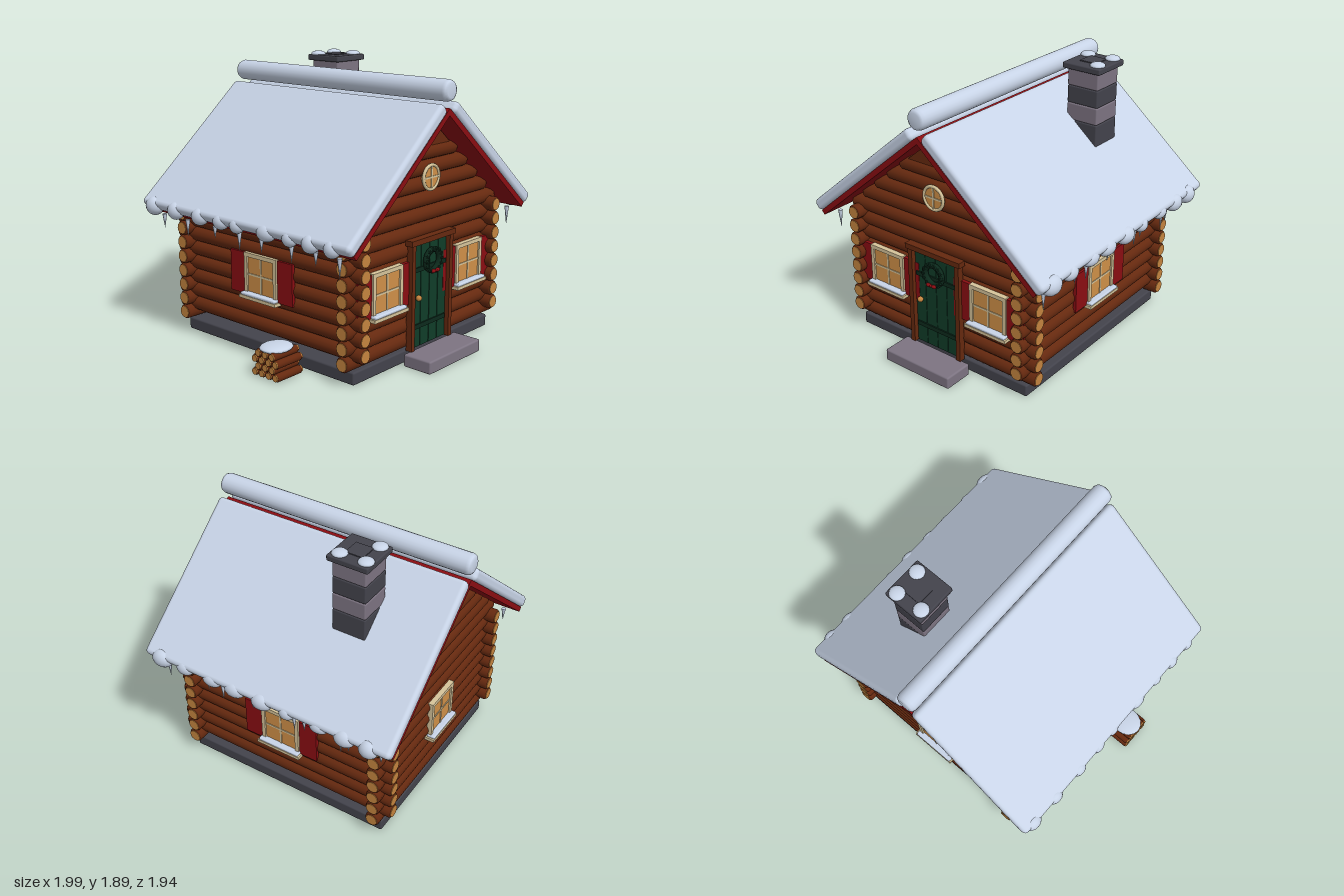
import * as THREE from 'three';
import { RoundedBoxGeometry } from 'three/addons/geometries/RoundedBoxGeometry.js';

const mat = (name, color, extra = {}) => {
  const m = new THREE.MeshStandardMaterial({ color, ...extra });
  m.name = name;
  return m;
};

export function createModel() {
  const bark = mat('bark brown', 0x66290f);
  const cutWood = mat('cut wood', 0xc5853f);
  const red = mat('barn red', 0x8a0d12);
  const green = mat('door green', 0x103c28);
  const darkGreen = mat('wreath green', 0x0c2a1c);
  const glass = mat('warm glass', 0xd09048);
  const cream = mat('cream trim', 0xd6c49a);
  const snow = mat('snow', 0xc9d5e8);
  const darkStone = mat('dark stone', 0x43434c);
  const lightStone = mat('light stone', 0x7d7482);

  const root = new THREE.Group();
  root.name = 'logCabin';
  const house = new THREE.Group();
  house.name = 'house';
  house.position.set(0.0125, 0, -0.035);
  root.add(house);

  const add = (parent, name, geo, material, x = 0, y = 0, z = 0) => {
    const m = new THREE.Mesh(geo, material);
    m.name = name;
    m.position.set(x, y, z);
    parent.add(m);
    return m;
  };
  const box = (p, name, m, w, h, d, x, y, z) => add(p, name, new THREE.BoxGeometry(w, h, d), m, x, y, z);
  const rbox = (p, name, m, w, h, d, x, y, z, r = 0.012) =>
    add(p, name, new RoundedBoxGeometry(w, h, d, 2, r), m, x, y, z);
  const ball = (p, name, m, rx, ry, rz, x, y, z) => {
    const b = add(p, name, new THREE.SphereGeometry(1, 16, 10), m, x, y, z);
    b.scale.set(rx, ry, rz);
    return b;
  };

  // Log with softened rims and pale cut ends, lying along x or z
  const log = (p, name, half, r, x, y, z, alongZ = false, ends = true) => {
    const g = new THREE.Group();
    g.name = name;
    const b = 0.01;
    const profile = [[0, -half], [r - b, -half], [r, -half + b], [r, half - b], [r - b, half], [0, half]];
    add(g, 'logBark', new THREE.LatheGeometry(profile.map(a => new THREE.Vector2(...a)), 14), bark);
    if (ends) {
      add(g, 'logEnds', new THREE.CylinderGeometry(r * 0.8, r * 0.8, 2 * half + 0.008, 14), cutWood);
    }
    if (alongZ) g.rotation.x = Math.PI / 2;
    else g.rotation.z = Math.PI / 2;
    g.position.set(x, y, z);
    p.add(g);
  };

  // Foundation and door step
  rbox(house, 'foundation', darkStone, 1.43, 0.085, 1.525, 0, 0.0425, 0);
  rbox(house, 'doorStep', lightStone, 0.545, 0.085, 0.213, 0.003, 0.0425, 0.903);

  // Interlocking log walls
  const WX = 0.685, WZ = 0.727;
  for (const s of [-1, 1]) {
    for (let i = 0; i < 8; i++) {
      log(house, 'endWallLog', 0.784, 0.051, 0, 0.147 + i * 0.1, s * WZ);
      log(house, 'sideWallLog', 0.831, 0.051, s * WX, 0.2 + i * 0.1, 0, true);
    }
    // Gable logs step inward, closed by a small triangle
    [0.755, 0.65, 0.535, 0.417, 0.3].forEach((half, i) =>
      log(house, 'gableLog', half, 0.051, 0, 0.947 + i * 0.1, s * WZ, false, false));
    const peak = new THREE.Shape([[-0.235, 1.385], [0.235, 1.385], [0, 1.582]].map(a => new THREE.Vector2(...a)));
    add(house, 'gablePeak', new THREE.ExtrudeGeometry(peak, { depth: 0.06, bevelEnabled: false }), bark, 0, 0, s * WZ - 0.03);
  }

  // Roof boards under thick snow
  for (const s of [-1, 1]) {
    const slope = new THREE.Group();
    slope.name = 'roofSlope';
    slope.position.y = 1.595;
    slope.rotation.y = s < 0 ? Math.PI : 0;
    const tilt = new THREE.Group();
    tilt.rotation.z = -40 * Math.PI / 180;
    slope.add(tilt);
    house.add(slope);
    box(tilt, 'roofBoards', red, 1.169, 0.036, 1.84, 0.5555, 0.018, 0);
    rbox(tilt, 'roofSnow', snow, 1.16, 0.083, 1.866, 0.58, 0.0765, 0, 0.03);
  }
  const L = 0.933, R = 0.07;
  const ridge = [[0, -L], [0.045, -L], [0.062, -L + 0.01], [R, -L + 0.03], [R, L - 0.03], [0.062, L - 0.01], [0.045, L], [0, L]];
  add(house, 'ridgeSnow', new THREE.LatheGeometry(ridge.map(a => new THREE.Vector2(...a)), 20), snow, 0, 1.75, 0)
    .rotation.x = Math.PI / 2;

  // Snow lumps along the eaves: z, height, half length
  const lumps = {
    1: [[0.77, 0.065, 0.08], [0.58, 0.052, 0.067], [0.36, 0.05, 0.075], [0.18, 0.055, 0.08], [-0.03, 0.06, 0.078],
      [-0.22, 0.05, 0.057], [-0.455, 0.046, 0.068], [-0.64, 0.06, 0.075], [-0.81, 0.064, 0.068]],
    [-1]: [[0.74, 0.055, 0.055], [0.57, 0.058, 0.06], [0.4, 0.05, 0.055], [0.2, 0.055, 0.075], [-0.06, 0.05, 0.055],
      [-0.21, 0.052, 0.06], [-0.41, 0.058, 0.065], [-0.65, 0.06, 0.065], [-0.87, 0.064, 0.07]],
  };
  const icicles = {
    1: [[0.77, 0.135], [0.445, 0.1], [0.325, 0.13], [0.085, 0.1], [0.012, 0.085], [-0.235, 0.12], [-0.31, 0.09],
      [-0.58, 0.135], [-0.635, 0.1], [-0.865, 0.07]],
    [-1]: [[0.75, 0.13], [0.56, 0.09], [0.36, 0.11], [0.1, 0.1], [-0.1, 0.12], [-0.33, 0.08], [-0.6, 0.12], [-0.84, 0.1]],
  };
  for (const s of [-1, 1]) {
    for (const [z, ry, rz] of lumps[s]) ball(house, 'eaveSnow', snow, ry * 0.9, ry, rz, s * 0.92, 0.912, z + 0.035);
    for (const [z, h] of icicles[s]) {
      add(house, 'icicle', new THREE.ConeGeometry(0.016, h, 8), snow, s * 0.865, 0.85 - h / 2, z + 0.035).rotation.x = Math.PI;
    }
  }

  // Chimney of alternating stone courses
  const chimney = new THREE.Group();
  chimney.name = 'chimney';
  chimney.position.set(0.4, 0, -0.402);
  root.add(chimney);
  [[1.25, 1.472], [1.472, 1.59], [1.59, 1.71], [1.71, 1.83]].forEach(([a, b], i) =>
    rbox(chimney, 'chimneyCourse', i % 2 ? lightStone : darkStone, 0.236, b - a, 0.236, 0, (a + b) / 2, 0, 0.01));
  rbox(chimney, 'chimneyCap', darkStone, 0.288, 0.042, 0.288, 0, 1.847, 0, 0.01);
  box(chimney, 'flue', darkStone, 0.125, 0.01, 0.125, 0, 1.869, 0);
  for (const [x, z] of [[-0.097, -0.083], [0.085, -0.098], [0.088, 0.082]]) {
    ball(chimney, 'capSnow', snow, 0.051, 0.022, 0.051, x, 1.872, z);
  }

  // Paned window facing +z, with optional shutters
  const addWindow = (x, z, turn, shutters) => {
    const w = new THREE.Group();
    w.name = 'window';
    w.position.set(x, 0.54, z);
    w.rotation.y = turn;
    house.add(w);
    box(w, 'glass', glass, 0.25, 0.25, 0.02, 0, 0, 0);
    for (const s of [-1, 1]) {
      box(w, 'frameSide', cream, 0.027, 0.29, 0.036, s * 0.132, 0, 0.004);
      box(w, 'frameRail', cream, 0.29, 0.027, 0.036, 0, s * 0.132, 0.004);
      if (shutters) box(w, 'shutter', red, 0.132, 0.28, 0.024, s * 0.215, 0, 0);
    }
    box(w, 'muntinUpright', cream, 0.013, 0.25, 0.028, 0, 0, 0);
    box(w, 'muntinBar', cream, 0.25, 0.013, 0.028, 0, 0, 0);
    box(w, 'sill', cream, 0.33, 0.022, 0.07, 0, -0.147, 0.018);
    rbox(w, 'sillSnow', snow, 0.31, 0.02, 0.06, 0, -0.128, 0.022, 0.008);
  };
  addWindow(-0.43, WZ + 0.05, 0, true);
  addWindow(0.43, WZ + 0.05, 0, true);
  addWindow(0, -WZ - 0.05, Math.PI, false);
  addWindow(WX + 0.05, 0, Math.PI / 2, true);
  addWindow(-WX - 0.05, 0, -Math.PI / 2, true);

  // Round gable window
  const rose = new THREE.Group();
  rose.name = 'roundWindow';
  rose.position.set(0, 1.192, WZ + 0.052);
  house.add(rose);
  add(rose, 'roundGlass', new THREE.CylinderGeometry(0.078, 0.078, 0.02, 28), glass).rotation.x = Math.PI / 2;
  add(rose, 'roundFrame', new THREE.TorusGeometry(0.079, 0.011, 8, 28), cream, 0, 0, 0.008);
  box(rose, 'roundMuntin', cream, 0.012, 0.15, 0.03, 0, 0, 0);
  box(rose, 'roundMuntin', cream, 0.15, 0.012, 0.03, 0, 0, 0);

  // Plank door with frame, straps, knob and wreath
  const door = new THREE.Group();
  door.name = 'door';
  door.position.set(0, 0, WZ + 0.05);
  house.add(door);
  box(door, 'doorBacking', darkGreen, 0.365, 0.7, 0.012, 0, 0.437, 0);
  for (let i = 0; i < 4; i++) box(door, 'doorPlank', green, 0.083, 0.695, 0.014, (i - 1.5) * 0.09, 0.437, 0.003);
  for (const s of [-1, 1]) box(door, 'doorPost', bark, 0.034, 0.72, 0.045, s * 0.198, 0.445, 0.017);
  box(door, 'doorLintel', bark, 0.46, 0.036, 0.055, 0, 0.803, 0.02);
  for (const y of [0.23, 0.61]) box(door, 'doorStrap', darkGreen, 0.335, 0.03, 0.014, 0, y, 0.012);
  ball(door, 'doorKnob', cutWood, 0.02, 0.02, 0.02, -0.13, 0.425, 0.028);
  add(door, 'wreath', new THREE.TorusGeometry(0.07, 0.02, 8, 20), darkGreen, 0, 0.655, 0.035);
  for (let i = 0; i < 14; i++) {
    const a = i / 14 * Math.PI * 2;
    const sprig = add(door, 'wreathSprig', new THREE.IcosahedronGeometry(0.017, 0), darkGreen,
      Math.cos(a) * 0.075, 0.655 + Math.sin(a) * 0.075, 0.046);
    sprig.rotation.z = a;
  }
  for (const s of [-1, 1]) ball(door, 'wreathBow', red, 0.02, 0.013, 0.012, s * 0.022, 0.588, 0.06);
  ball(door, 'wreathKnot', red, 0.01, 0.01, 0.012, 0, 0.588, 0.062);

  // Stacked firewood under a cap of snow
  const pile = new THREE.Group();
  pile.name = 'woodpile';
  root.add(pile);
  [4, 3, 4, 3].forEach((n, row) => {
    for (let i = 0; i < n; i++) {
      log(pile, 'firewood', 0.109, 0.027, -0.877, 0.03 + row * 0.043, 0.25 + (i - (n - 1) / 2) * 0.06);
    }
  });
  ball(pile, 'woodpileSnow', snow, 0.114, 0.026, 0.1, -0.884, 0.186, 0.25);

  return root;
}
